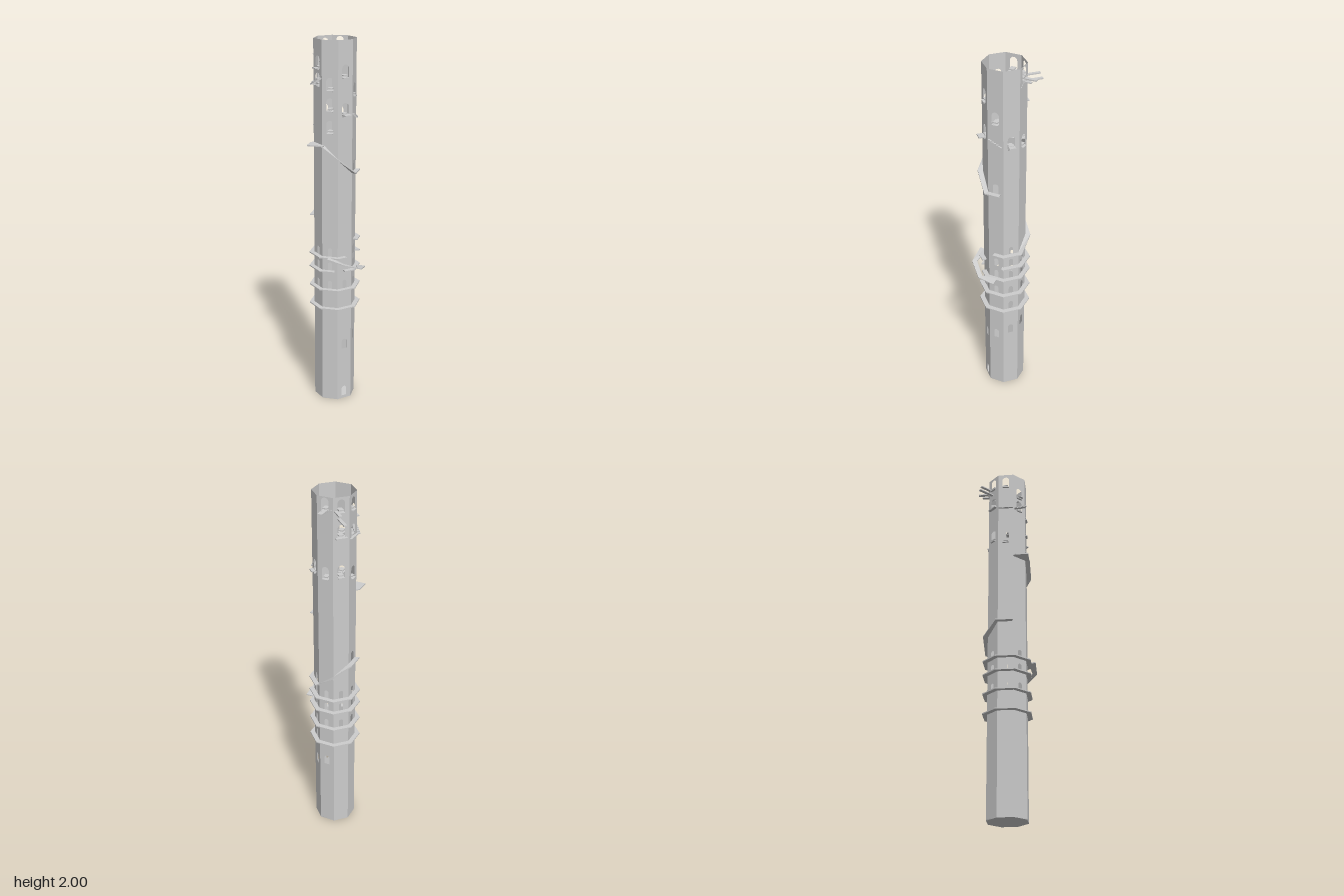
import * as THREE from 'three';

const CX = 0.01, CZ = 0.01;          // tower axis
const WALL = 0.103;                  // distance from axis to each wall
const RING = 0.128;                  // distance from axis to walkway edge
const TAN = Math.tan(Math.PI / 8);
const HALF = WALL * TAN;             // half the width of a wall

const stone = new THREE.MeshStandardMaterial({ color: 0xcccccc, side: THREE.DoubleSide });
stone.name = 'pale stone';

// middle heights of the windows on each wall, anticlockwise from the front
const gallery = [0.69, 0.797, 0.877];
const windows = [
  [0.045, 0.337, 0.693, 1.65, 1.845],
  [...gallery, 0.37, 1.342, 1.745],
  [...gallery, 0.41, 0.585, 0.955, 1.615],
  [...gallery, 0.435, 1.6, 1.963],
  [...gallery, 1.61, 1.825, 1.955],
  [...gallery, 1.09, 1.585, 1.81, 1.95],
  [...gallery, 1.8, 1.885],
  [...gallery, 1.56, 1.675, 1.78],
];

// windows are large near the top, small along the ring walkways
function windowSize(y) {
  if (y > 1.5) return [0.039, 0.065];
  return y > 0.5 && y < 1 ? [0.024, 0.049] : [0.031, 0.057];
}

// wall panel with arched openings
function wallPanel(heights) {
  const s = new THREE.Shape();
  s.moveTo(-HALF, 0).lineTo(HALF, 0).lineTo(HALF, 2).lineTo(-HALF, 2).closePath();
  for (const y of heights) {
    const [w, h] = windowSize(y), r = w / 2, hole = new THREE.Path();
    hole.moveTo(-r, y - h / 2);
    hole.lineTo(r, y - h / 2);
    hole.lineTo(r, y + h / 2 - r);
    hole.absarc(0, y + h / 2 - r, r, 0, Math.PI, false);
    hole.closePath();
    s.holes.push(hole);
  }
  return new THREE.ShapeGeometry(s, 6);
}

// point around the octagon; whole numbers of u are wall centres
function around(u, r) {
  const k = Math.round(u), t = (u - k) * 2 * r * TAN, a = k * Math.PI / 4;
  return [CX + Math.sin(a) * r + Math.cos(a) * t, CZ + Math.cos(a) * r - Math.sin(a) * t];
}

// thin slab through sections of [inner point, outer point, height]
function slab(name, sections, thick = 0.006) {
  const rings = sections.map(([i, o, y]) => [
    [i[0], y, i[1]], [o[0], y, o[1]], [o[0], y - thick, o[1]], [i[0], y - thick, i[1]],
  ]);
  const pos = [];
  const quad = (a, b, c, d) => pos.push(...a, ...b, ...c, ...a, ...c, ...d);
  for (let n = 0; n < rings.length - 1; n++) {
    const A = rings[n], B = rings[n + 1];
    for (let j = 0; j < 4; j++) quad(A[j], A[(j + 1) % 4], B[(j + 1) % 4], B[j]);
  }
  quad(...rings[0]);
  quad(...rings[rings.length - 1]);
  const g = new THREE.BufferGeometry();
  g.setAttribute('position', new THREE.Float32BufferAttribute(pos, 3));
  g.computeVertexNormals();
  const m = new THREE.Mesh(g, stone);
  m.name = name;
  return m;
}

// walkway hugging the walls through [u, height] stops
const walkway = (name, stops) =>
  slab(name, stops.map(([u, y]) => [around(u, WALL), around(u, RING), y]));

// level walkway, bending at every corner
function levelWalk(y, u0, u1) {
  const stops = [[u0, y]];
  for (let c = Math.floor(u0 + 0.5) + 0.5; c < u1; c++) stops.push([c, y]);
  return walkway('ringWalkway', [...stops, [u1, y]]);
}

export function createModel() {
  const tower = new THREE.Group();
  tower.name = 'tower';

  // walls, each in a group that also carries its ledges
  const walls = windows.map((heights, k) => {
    const g = new THREE.Group();
    g.name = 'wall' + k;
    g.position.set(CX, 0, CZ);
    g.rotation.y = k * Math.PI / 4;
    const m = new THREE.Mesh(wallPanel(heights), stone);
    m.name = 'wallPanel';
    m.position.z = WALL;
    g.add(m);
    tower.add(g);
    return g;
  });

  // base slab
  const corner = WALL / Math.cos(Math.PI / 8);
  const base = new THREE.Mesh(new THREE.CylinderGeometry(corner, corner, 0.004, 8), stone);
  base.name = 'base';
  base.rotation.y = Math.PI / 8;
  base.position.set(CX, 0.002, CZ);
  tower.add(base);

  // ring walkways, the upper ones only part of the way round
  tower.add(
    levelWalk(0.56, -0.5, 7.5),
    levelWalk(0.67, -0.5, 7.5),
    levelWalk(0.777, -0.1, 7.3),
    levelWalk(0.855, 1.4, 8),
    levelWalk(0.935, 0.9, 2.5),
  );

  // sloping ramps with landings
  tower.add(
    walkway('backRamp', [[2.5, 0.935], [3.5, 1.0], [4.5, 1.065], [5.4, 1.065]]),
    walkway('frontRamp', [[6.6, 1.465], [7.5, 1.395], [8.5, 1.315], [9.3, 1.315]]),
    slab('rampLanding', [
      [[-0.09, -0.035], [-0.112, -0.034], 1.465],
      [[-0.09, 0.02], [-0.162, 0.016], 1.465],
      [[-0.07, 0.05], [-0.1, 0.078], 1.465],
    ]),
  );

  // bridge swinging out from the front
  tower.add(slab('frontBridge', [
    [[-0.07, 0.088], [-0.1, 0.113], 0.857],
    [[-0.022, 0.158], [-0.03, 0.183], 0.83],
    [[0.065, 0.158], [0.075, 0.183], 0.793],
    [[0.1, 0.085], [0.138, 0.12], 0.777],
  ]));

  // plank on wall k: sideways centre, height, inner and outer reach from the wall, width
  const plank = (name, k, s, y, n0, n1, w) => {
    const m = new THREE.Mesh(new THREE.BoxGeometry(w, 0.006, n1 - n0), stone);
    m.name = name;
    m.position.set(s, y, WALL + (n0 + n1) / 2);
    walls[k].add(m);
  };

  // sill and inner step at every upper window
  windows.forEach((heights, k) => {
    for (const y of heights.filter((v) => v > 1.5)) {
      const foot = y - windowSize(y)[1] / 2;
      plank('sill', k, 0, foot - 0.003, -0.03, 0.01, 0.034);
      plank('sillStep', k, 0, foot + 0.01, -0.03, 0.003, 0.026);
    }
  });

  // long ledges and beams
  plank('frontLedge', 0, 0, 1.622, -0.02, 0.037, 0.04);
  plank('leftLedge', 2, 0, 1.59, -0.02, 0.024, 0.034);
  plank('rightLedge', 6, 0, 1.855, -0.045, 0.023, 0.03);
  plank('backLedge', 4, 0, 1.79, -0.02, 0.016, 0.06);
  plank('cornerLedge', 5, 0, 1.776, -0.03, 0.012, 0.08);
  plank('longBeam', 4, -0.011, 1.89, -0.01, 0.092, 0.017);
  plank('shortBeam', 4, -0.028, 1.93, -0.01, 0.07, 0.016);
  plank('longBeam', 3, 0.008, 1.933, -0.05, 0.065, 0.018);
  plank('shortBeam', 3, -0.01, 1.925, -0.02, 0.045, 0.016);
  plank('innerBeam', 1, -0.008, 1.71, -0.06, 0.006, 0.016);

  // small flights of steps along a wall: wall, start height, rise, inner and outer reach
  const flight = (k, y, rise, n0, n1) => {
    for (let i = 0; i < 7; i++) plank('step', k, -0.033 + i * 0.011, y + i * rise, n0, n1, 0.011);
  };
  flight(1, 1.622, -0.005, -0.012, 0.01);
  flight(3, 1.9, 0.006, -0.03, 0.004);
  flight(4, 1.9, -0.005, -0.035, -0.004);
  flight(6, 1.77, 0.006, -0.006, 0.022);
  flight(7, 1.63, 0.006, -0.03, -0.002);

  return tower;
}
